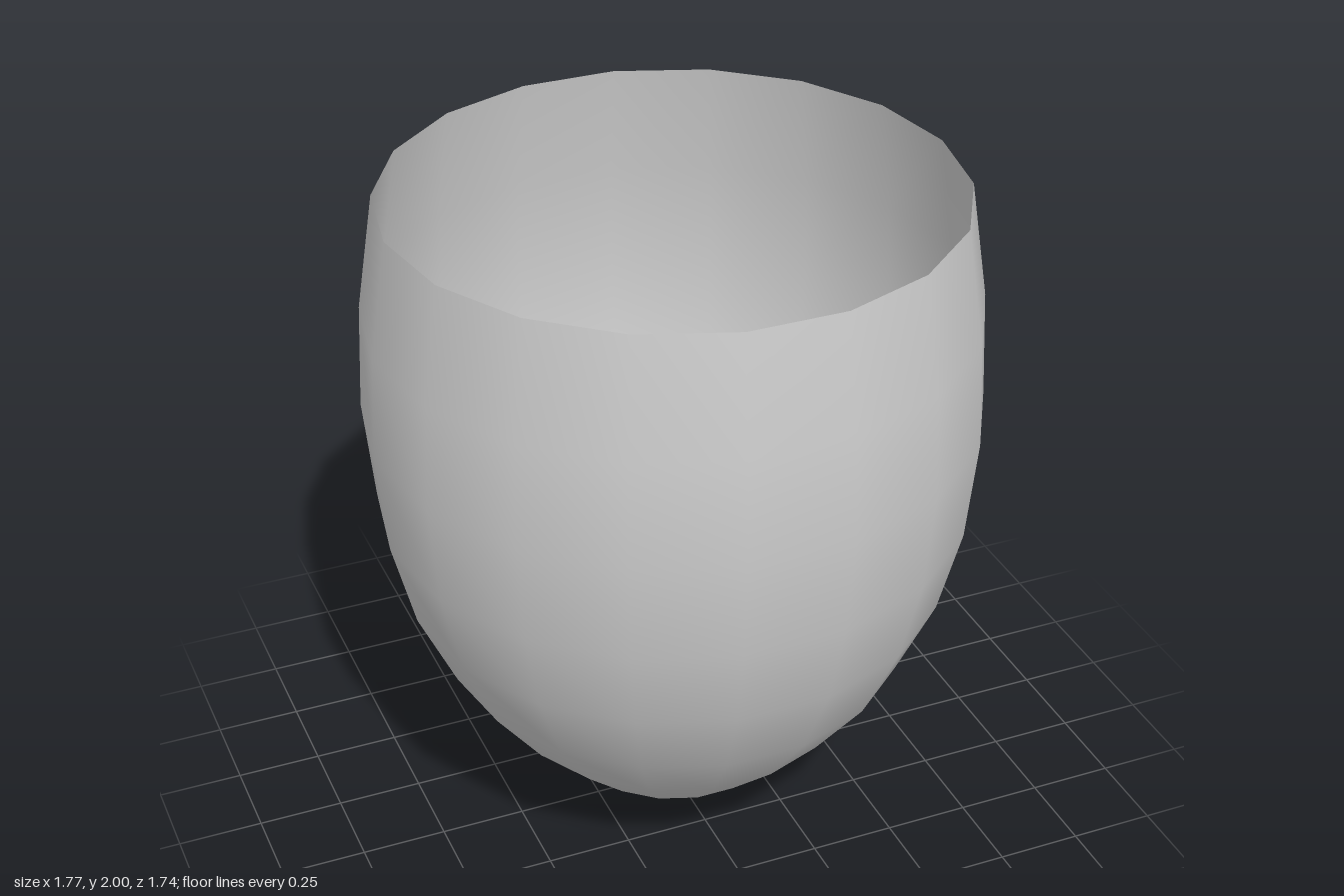
import * as THREE from 'three';

export function createModel() {
  const group = new THREE.Group();
  group.name = 'cup';

  // Thin open shell: radius and height from the bottom hole up to the rim
  const profile = [
    [0.097, 0], [0.33, 0.16], [0.525, 0.345], [0.68, 0.55], [0.79, 0.79],
    [0.855, 1.05], [0.883, 1.35], [0.868, 1.66], [0.815, 2],
  ].map(([r, y]) => new THREE.Vector2(r, y));

  // 18 sides, with corners on the x axis
  const shell = new THREE.Mesh(
    new THREE.LatheGeometry(profile, 18, Math.PI / 2),
    new THREE.MeshStandardMaterial({ color: 0xcccccc, side: THREE.DoubleSide }),
  );
  shell.name = 'shell';
  group.add(shell);

  return group;
}
